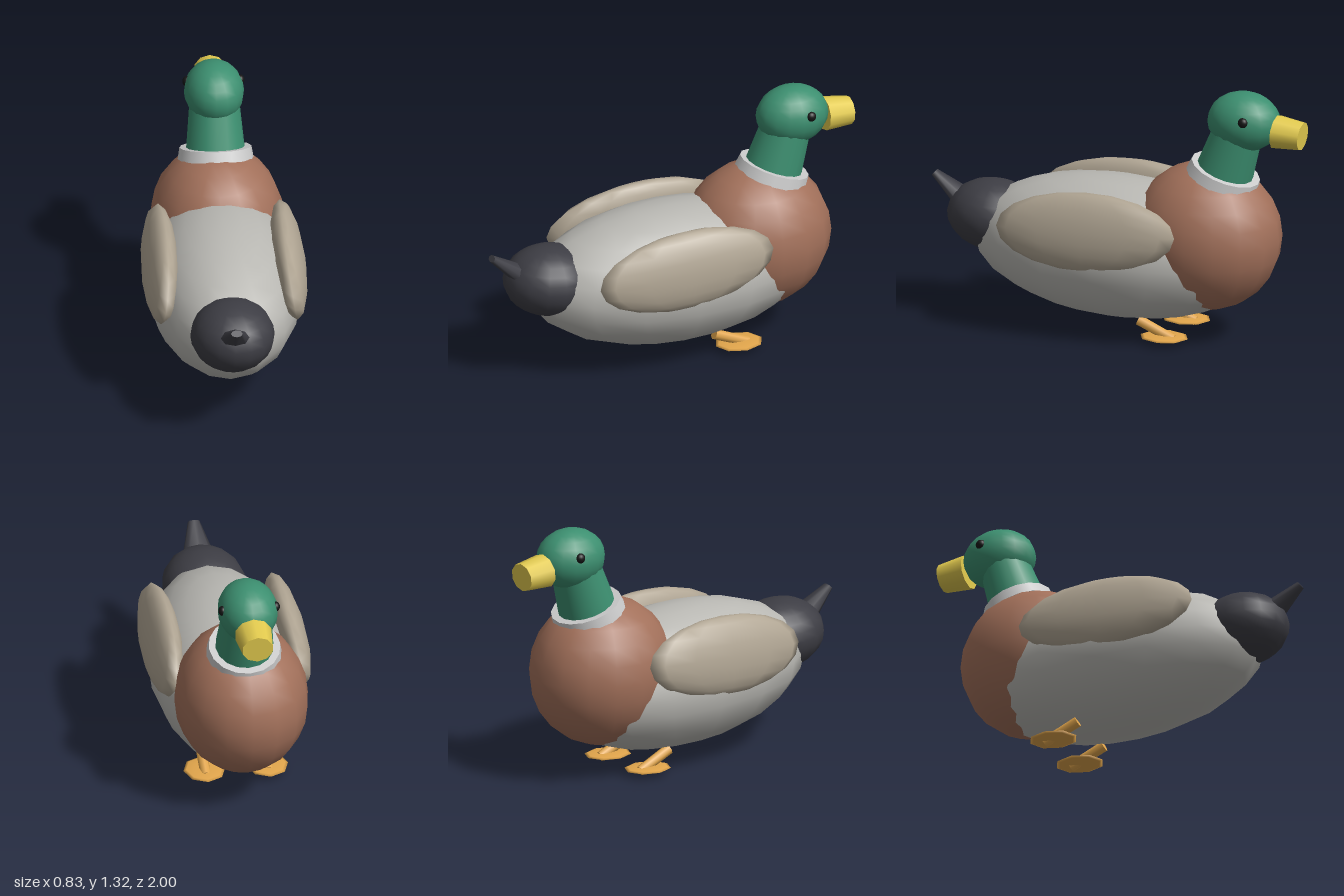
import * as THREE from 'three';

const colors = {
  green: 0x3c8f70, chestnut: 0xa2705a, grey: 0xb9b8b3, wing: 0xb0a593,
  dark: 0x3d3d44, white: 0xd6d6d6, yellow: 0xe2ca4e, orange: 0xe2a64c, black: 0x151515,
};
const materials = {};
for (const key in colors) materials[key] = new THREE.MeshStandardMaterial({ color: colors[key] });

export function createModel() {
  const duck = new THREE.Group();
  duck.name = 'duck';

  // Ellipsoid from centre, radii and rotation
  const ellipsoid = (name, color, center, radii, rotation = [0, 0, 0], segments = [16, 12]) => {
    const mesh = new THREE.Mesh(new THREE.SphereGeometry(1, ...segments), materials[color]);
    mesh.name = name;
    mesh.position.set(...center);
    mesh.scale.set(...radii);
    mesh.rotation.set(...rotation);
    duck.add(mesh);
  };

  // Tapered round part running from one point to another; depth flattens it
  const taper = (name, color, from, to, rFrom, rTo, depth = 1, sides = 16) => {
    const a = new THREE.Vector3(...from);
    const b = new THREE.Vector3(...to);
    const axis = b.clone().sub(a);
    const mesh = new THREE.Mesh(
      new THREE.CylinderGeometry(rTo, rFrom, axis.length(), sides), materials[color]);
    mesh.name = name;
    mesh.position.copy(a).add(b).multiplyScalar(0.5);
    mesh.quaternion.setFromUnitVectors(new THREE.Vector3(0, 1, 0), axis.normalize());
    mesh.scale.z = depth;
    duck.add(mesh);
  };

  // Body, breast and rump
  ellipsoid('body', 'grey', [0, 0.44, 0], [0.39, 0.362, 0.775], [-0.03, 0, 0]);
  ellipsoid('breast', 'chestnut', [0, 0.548, -0.478], [0.34, 0.385, 0.388]);
  ellipsoid('rump', 'dark', [0, 0.525, 0.67], [0.213, 0.18, 0.24], [-0.08, 0, 0]);
  taper('tailTip', 'dark', [0, 0.565, 0.8], [0, 0.708, 0.988], 0.095, 0.03, 0.6, 8);

  // Neck, collar and head
  taper('collar', 'white', [0, 0.85, -0.56], [0, 0.905, -0.58], 0.192, 0.182);
  taper('neck', 'green', [0, 0.86, -0.562], [0, 1.12, -0.648], 0.152, 0.127);
  ellipsoid('head', 'green', [0, 1.172, -0.678], [0.152, 0.154, 0.19]);
  taper('beak', 'yellow', [0, 1.136, -0.85], [0, 1.126, -0.993], 0.096, 0.08, 0.9, 10);

  // Paired parts
  for (const s of [1, -1]) {
    const side = s > 0 ? 'left' : 'right';
    ellipsoid(side + 'Eye', 'black', [s * 0.135, 1.207, -0.722], [0.022, 0.026, 0.026]);
    ellipsoid(side + 'Wing', 'wing', [s * 0.326, 0.597, 0.055], [0.085, 0.202, 0.48],
      [0.04, 0, s * 0.16], [12, 10]);
    taper(side + 'Leg', 'orange', [s * 0.16, 0.107, -0.172], [s * 0.16, 0.026, -0.357],
      0.028, 0.026, 1, 8);
    ellipsoid(side + 'Foot', 'orange', [s * 0.16, 0.034, -0.308], [0.107, 0.012, 0.127],
      [0, 0, 0], [8, 6]);
  }
  return duck;
}
